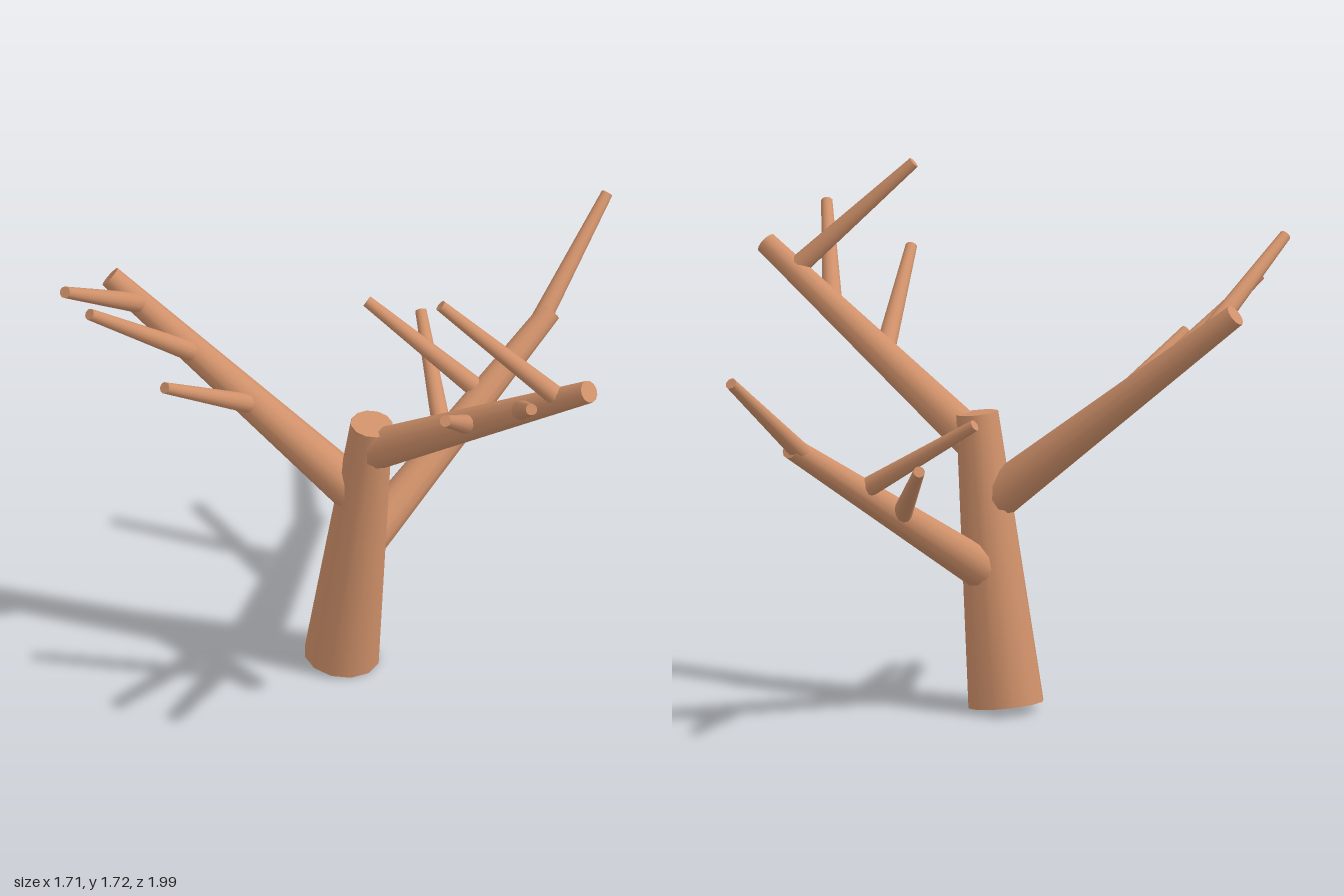
import * as THREE from 'three';

const UP = new THREE.Vector3(0, 1, 0);

export function createModel() {
  const tree = new THREE.Group();
  tree.name = 'bareTree';
  const bark = new THREE.MeshStandardMaterial({ color: 0xd0916a });
  bark.name = 'bark';

  // Tapered limb running from point a (radius ra) to point b (radius rb)
  function limb(name, a, b, ra, rb, parent = tree) {
    const start = new THREE.Vector3(...a);
    const end = new THREE.Vector3(...b);
    const dir = end.clone().sub(start);
    const mesh = new THREE.Mesh(new THREE.CylinderGeometry(rb, ra, dir.length(), 12), bark);
    mesh.name = name;
    mesh.position.copy(start).add(end).multiplyScalar(0.5);
    mesh.quaternion.setFromUnitVectors(UP, dir.normalize());
    parent.add(mesh);
  }

  // Leaning trunk
  limb('trunk', [-0.18, 0.021, 0.2], [-0.045, 0.972, 0.195], 0.125, 0.07);

  // Main branches; each twig is [position along the branch, tip]
  const branches = [
    {
      name: 'rightBranch', from: [-0.085, 0.67, 0.2], to: [-0.83, 1.37, 0.62], r: [0.075, 0.037],
      twigs: [[0.88, [-0.665, 1.55, 0.985]], [0.65, [-0.648, 1.43, 0.89]], [0.42, [-0.4, 1.215, 0.79]]],
    },
    {
      name: 'leftBranch', from: [-0.06, 0.86, 0.195], to: [0.8, 1.415, 0.03], r: [0.068, 0.037],
      twigs: [[0.45, [0.562, 1.38, 0.45]], [0.69, [0.84, 1.5, 0.33]], [0.87, [0.415, 1.705, 0.33]]],
    },
    {
      name: 'backBranch', from: [-0.12, 0.435, 0.2], to: [-0.095, 1.0, -0.66], r: [0.07, 0.037],
      twigs: [[0.93, [-0.163, 1.28, -0.985]], [0.66, [-0.475, 1.07, -0.2]], [0.46, [-0.45, 0.945, -0.42]]],
    },
  ];

  for (const { name, from, to, r, twigs } of branches) {
    const group = new THREE.Group();
    group.name = name;
    tree.add(group);
    limb(name + 'Limb', from, to, r[0], r[1], group);
    twigs.forEach(([t, tip], i) => {
      const base = from.map((v, k) => v + (to[k] - v) * t);
      limb(name + 'Twig' + (i + 1), base, tip, 0.034, 0.019, group);
    });
  }

  return tree;
}
